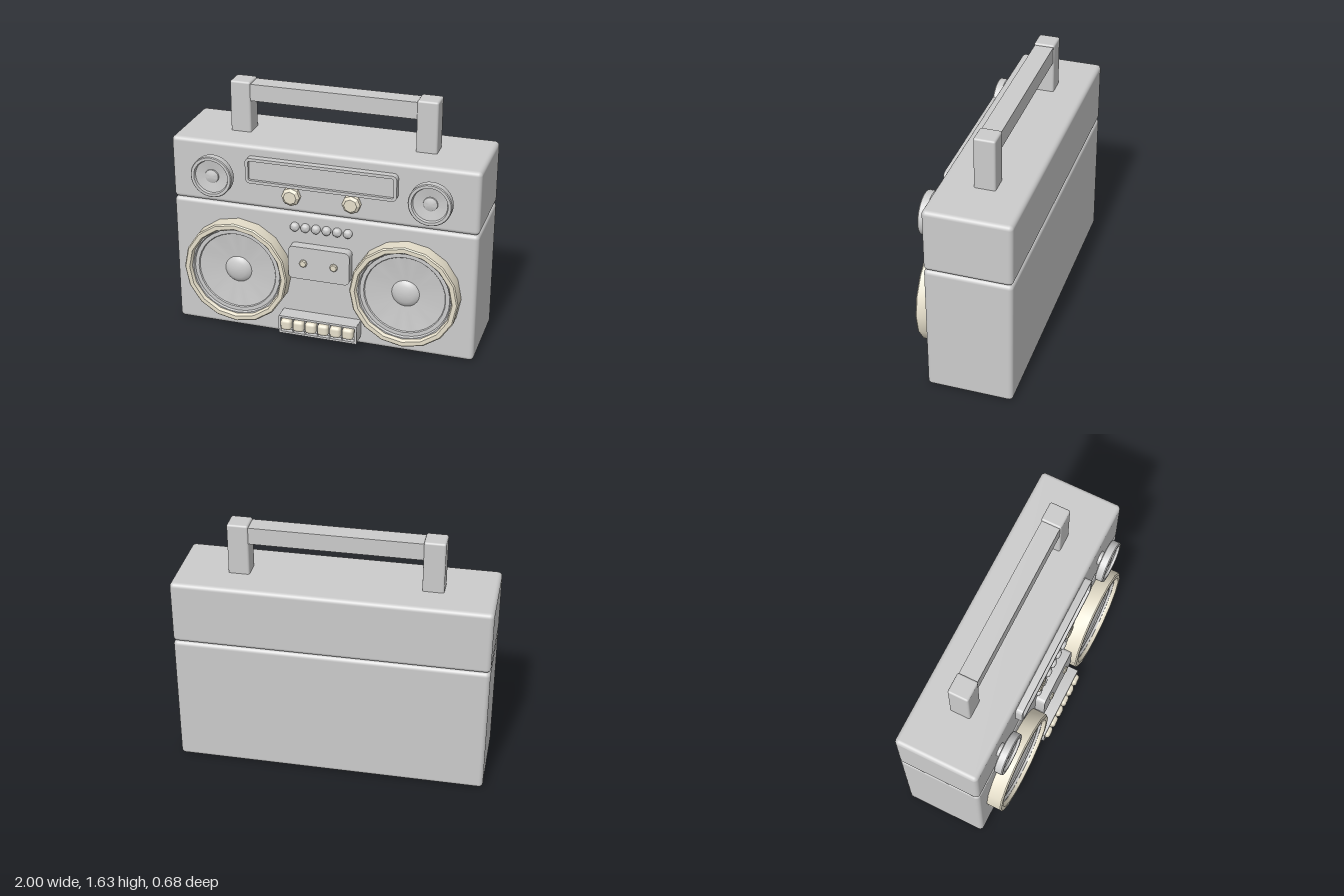
import * as THREE from 'three';
import { toCreasedNormals } from 'three/addons/utils/BufferGeometryUtils.js';
import { RoundedBoxGeometry } from 'three/addons/geometries/RoundedBoxGeometry.js';

const FRONT = 0.21; // z of the case front

export function createModel() {
  const grey = new THREE.MeshStandardMaterial({ color: 0xcccccc });
  const cream = new THREE.MeshStandardMaterial({ color: 0xe6dfcb });
  const model = new THREE.Group();

  function add(name, geometry, x, y, z, material = grey, parent = model) {
    const mesh = new THREE.Mesh(geometry, material);
    mesh.name = name;
    mesh.position.set(x, y, z);
    parent.add(mesh);
    return mesh;
  }

  // Turned part facing +z; profile is [radius, height] from outer base to centre
  function turned(profile, sides, crease = 0.5) {
    const g = new THREE.LatheGeometry(profile.map(([r, h]) => new THREE.Vector2(r, h)), sides);
    return toCreasedNormals(g.rotateX(Math.PI / 2), crease);
  }

  function roundedRect(path, w, h, r) {
    path.moveTo(-w / 2 + r, -h / 2);
    path.absarc(w / 2 - r, -h / 2 + r, r, -Math.PI / 2, 0);
    path.absarc(w / 2 - r, h / 2 - r, r, 0, Math.PI / 2);
    path.absarc(-w / 2 + r, h / 2 - r, r, Math.PI / 2, Math.PI);
    path.absarc(-w / 2 + r, -h / 2 + r, r, Math.PI, Math.PI * 1.5);
    path.closePath();
    return path;
  }

  // Rounded plate, or a frame when a border width is given
  function plate(w, h, r, depth, border = 0) {
    const shape = roundedRect(new THREE.Shape(), w, h, r);
    if (border) {
      shape.holes.push(roundedRect(new THREE.Path(), w - 2 * border, h - 2 * border, Math.max(r - border, 0.004)));
    }
    return toCreasedNormals(new THREE.ExtrudeGeometry(shape, { depth, bevelEnabled: false, curveSegments: 6 }), 0.6);
  }

  // Case halves
  add('lowerCase', new RoundedBoxGeometry(2, 0.882, 0.55, 4, 0.028), 0, 0.441, -0.065);
  add('upperCase', new RoundedBoxGeometry(2, 0.418, 0.55, 4, 0.028), 0, 1.091, -0.065);

  // Carrying handle
  const handle = new THREE.Group();
  handle.name = 'handle';
  model.add(handle);
  for (const s of [-1, 1]) {
    add('handlePost', new RoundedBoxGeometry(0.135, 0.355, 0.135, 2, 0.013), s * 0.607, 1.457, -0.067, grey, handle);
  }
  add('handleBar', new THREE.BoxGeometry(1.12, 0.11, 0.122), 0, 1.566, -0.067, grey, handle);

  for (const s of [-1, 1]) {
    // Large speaker: rim, surround, cone and dust cap
    const speaker = new THREE.Group();
    speaker.name = s > 0 ? 'leftSpeaker' : 'rightSpeaker';
    speaker.position.set(s * 0.558, 0.437, FRONT);
    model.add(speaker);
    add('speakerRim', turned([
      [0.35, -0.01], [0.35, 0.092], [0.342, 0.1], [0.315, 0.1], [0.306, 0.085], [0.306, 0],
    ], 16), 0, 0, 0, cream, speaker);
    add('speakerCone', turned([
      [0.308, 0.075], [0.296, 0.075], [0.29, 0.06], [0.265, 0.06], [0.26, 0.052], [0.09, 0.03], [0, 0.03],
    ], 32), 0, 0, 0, grey, speaker);
    add('dustCap', turned([
      [0.092, 0.028], [0.078, 0.042], [0.055, 0.052], [0.028, 0.058], [0, 0.06],
    ], 32), 0, 0, 0, grey, speaker);

    // Small speaker on a short stem
    const tweeter = new THREE.Group();
    tweeter.name = s > 0 ? 'leftTweeter' : 'rightTweeter';
    tweeter.position.set(s * 0.706, 1.087, FRONT);
    model.add(tweeter);
    add('tweeterStem', turned([[0.045, -0.01], [0.045, 0.04]], 24), 0, 0, 0, grey, tweeter);
    add('tweeterDisc', turned([
      [0, 0.03], [0.132, 0.03], [0.137, 0.036], [0.137, 0.08], [0.132, 0.086], [0.114, 0.086],
      [0.108, 0.07], [0.046, 0.06], [0.044, 0.068], [0.025, 0.075], [0, 0.077],
    ], 32), 0, 0, 0, grey, tweeter);

    // Tuning knob
    add('knob', turned([
      [0.06, -0.01], [0.06, 0.03], [0.042, 0.046], [0, 0.046],
    ], 8, 0.2), s * 0.197, 0.996, FRONT, cream);
  }

  // Tuning display: frame and recessed window
  add('displayFrame', plate(0.98, 0.17, 0.03, 0.055, 0.02), 0, 1.147, FRONT - 0.01);
  add('displayWindow', plate(0.95, 0.14, 0.015, 0.035), 0, 1.147, FRONT - 0.01);

  // Row of indicator studs
  for (let i = 0; i < 6; i++) {
    add('indicator', turned([
      [0.029, -0.01], [0.029, 0.018], [0.022, 0.026], [0, 0.03],
    ], 16, 0.9), (i - 2.5) * 0.07 - 0.003, 0.785, FRONT);
  }

  // Cassette door with two spindles
  add('cassetteDoor', plate(0.405, 0.225, 0.032, 0.075), -0.003, 0.562, FRONT - 0.01);
  for (const s of [-1, 1]) {
    add('spindle', turned([[0.026, 0.05], [0.026, 0.073], [0.02, 0.079], [0, 0.079]], 8, 0.2),
      s * 0.101 - 0.003, 0.564, FRONT, cream);
  }

  // Key tray: frame, floor, dividers and keys
  add('keyTray', plate(0.525, 0.125, 0.004, 0.112, 0.014), -0.002, 0.117, FRONT - 0.01);
  add('keyTrayFloor', new THREE.BoxGeometry(0.51, 0.11, 0.08), -0.002, 0.117, FRONT + 0.03);
  for (let i = 0; i < 6; i++) {
    const x = (i - 2.5) * 0.083 - 0.003;
    add('key', new RoundedBoxGeometry(0.074, 0.078, 0.07, 3, 0.022), x, 0.126, 0.303, cream);
    if (i) add('keyDivider', new THREE.BoxGeometry(0.008, 0.1, 0.03), x - 0.0415, 0.117, 0.288);
  }

  return model;
}
